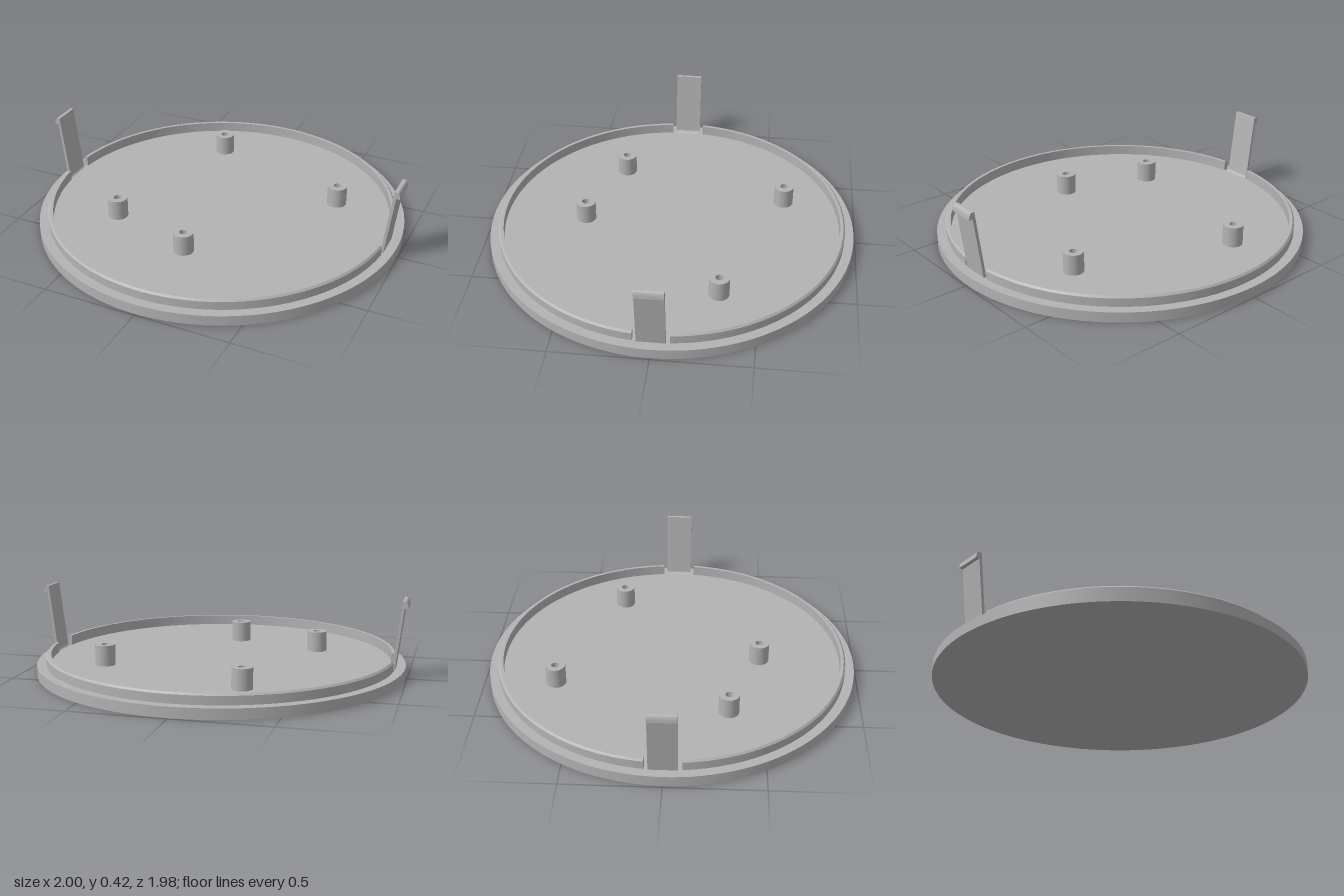
import * as THREE from 'three';
import { mergeGeometries } from 'three/addons/utils/BufferGeometryUtils.js';

const FLOOR = 0.055;

// Revolve a closed profile, one band per edge so that corners stay sharp
function sharpLathe(profile, segments, start = 0, sweep = Math.PI * 2) {
  const pts = profile.map(([r, y]) => new THREE.Vector2(r, y));
  const parts = [];
  for (let i = 0; i < pts.length - 1; i++) {
    parts.push(new THREE.LatheGeometry([pts[i], pts[i + 1]], segments, start, sweep));
  }
  // Flat ends for an open sweep
  if (sweep < Math.PI * 2) {
    for (const [side, angle] of [[1, start], [-1, start + sweep]]) {
      const shape = new THREE.Shape(pts.map(p => new THREE.Vector2(p.x * side, p.y)));
      const cap = new THREE.ShapeGeometry(shape);
      cap.rotateY(angle - Math.PI / 2 + (side < 0 ? Math.PI : 0));
      parts.push(cap);
    }
  }
  return mergeGeometries(parts);
}

export function createModel() {
  const model = new THREE.Group();
  model.name = 'snapOnCover';
  const grey = new THREE.MeshStandardMaterial({ color: 0xb3b3b3 });
  grey.name = 'grey plastic';

  const add = (name, geometry) => {
    const mesh = new THREE.Mesh(geometry, grey);
    mesh.name = name;
    model.add(mesh);
    return mesh;
  };

  // Base disc
  add('baseDisc', new THREE.CylinderGeometry(0.99, 0.99, FLOOR, 128)).position.y = FLOOR / 2;

  // Two half rims with a chamfered outer edge, leaving gaps for the clips
  const rimProfile = [[0.94, FLOOR], [0.94, 0.1], [0.931, 0.11], [0.914, 0.11], [0.914, FLOOR]];
  const gap = Math.asin(0.092 / 0.927);
  add('frontRim', sharpLathe(rimProfile, 72, -Math.PI / 2 + gap, Math.PI - 2 * gap));
  add('backRim', sharpLathe(rimProfile, 72, Math.PI / 2 + gap, Math.PI - 2 * gap));

  // Hollow screw posts
  const postProfile = [[0.053, FLOOR], [0.053, 0.165], [0.021, 0.165], [0.021, FLOOR]];
  const postGeometry = sharpLathe(postProfile, 32);
  for (const [x, z] of [[-0.257, -0.603], [0.558, -0.3], [-0.473, 0.313], [0.002, 0.475]]) {
    add('screwPost', postGeometry).position.set(x, 0, z);
  }

  // Outward-leaning snap clips with hooked tips and a small foot
  const clipShape = new THREE.Shape();
  clipShape.moveTo(0.912, FLOOR - 0.005);
  clipShape.lineTo(0.939, FLOOR - 0.005);
  clipShape.lineTo(0.98, 0.385);
  clipShape.lineTo(1, 0.385);
  clipShape.lineTo(0.998, 0.4);
  clipShape.quadraticCurveTo(0.993, 0.422, 0.982, 0.422);
  clipShape.lineTo(0.969, 0.422);
  clipShape.lineTo(0.926, 0.07);
  clipShape.quadraticCurveTo(0.924, 0.058, 0.912, FLOOR);
  clipShape.closePath();
  const clipGeometry = new THREE.ExtrudeGeometry(clipShape, {
    depth: 0.145, bevelEnabled: false, curveSegments: 6,
  }).translate(0, 0, -0.0725);
  add('leftClip', clipGeometry);
  add('rightClip', clipGeometry).rotation.y = Math.PI;

  return model;
}
